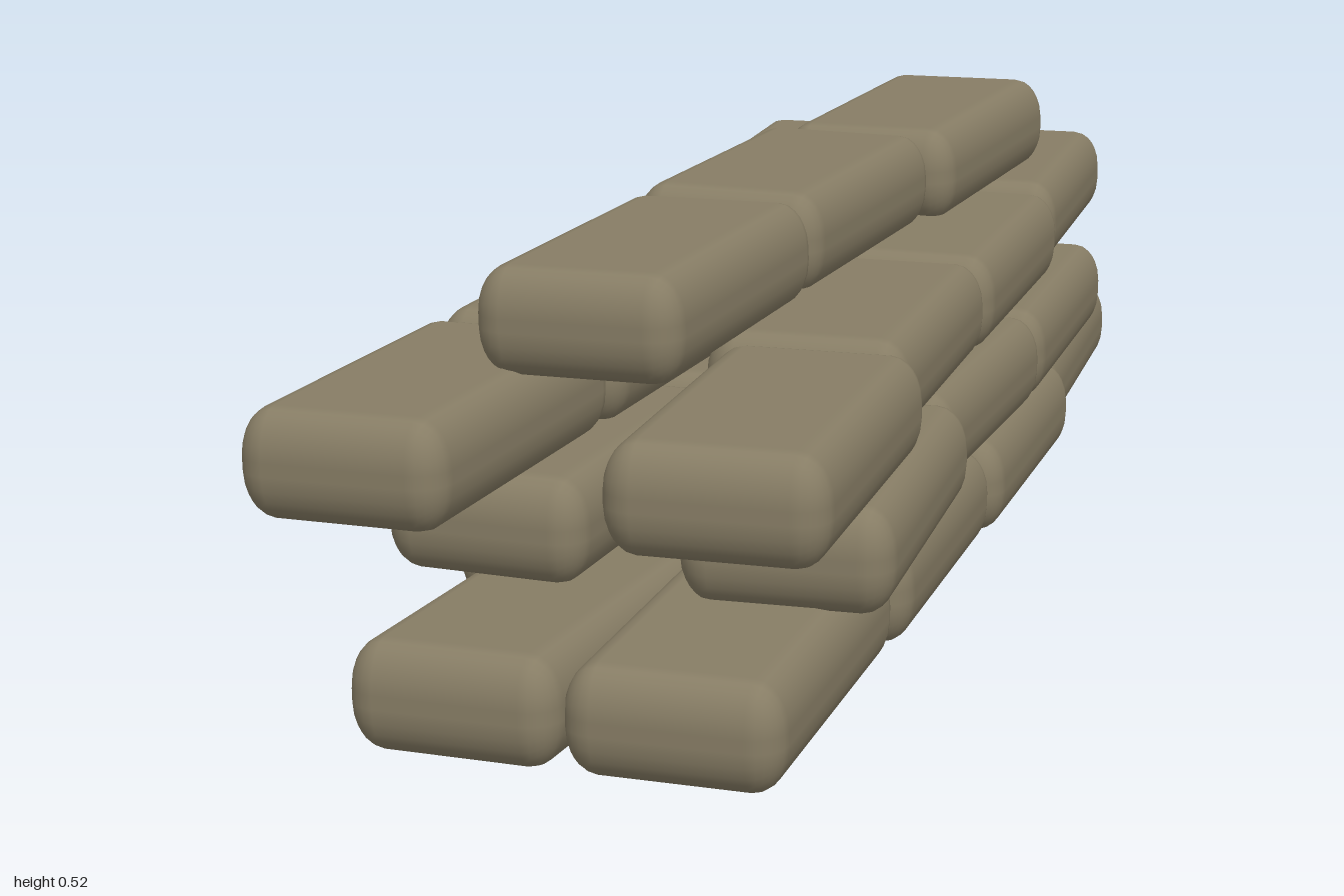
import * as THREE from 'three';
import { RoundedBoxGeometry } from 'three/addons/geometries/RoundedBoxGeometry.js';

const canvas = new THREE.MeshStandardMaterial({ color: 0x877d65 });
canvas.name = 'khaki canvas';

// One stuffed sack: taller than wide rounding, slightly sagging top and bottom.
function sackGeometry() {
  const squash = 1.45;
  const g = new RoundedBoxGeometry(0.258 * squash, 0.132, 0.488 * squash, 3, 0.058);
  g.scale(1 / squash, 1, 1 / squash);
  return g;
}

// Courses from the ground up; each sack is [x, z, yaw, pitch, roll].
const courses = [
  { name: 'bottomCourse', y: 0.077, sacks: [
    [-0.075, 0.75, -0.05, -0.02, 0.02], [0.165, 0.735, 0.01, 0.01, 0],
    [-0.165, 0.24, -0.03, 0.01, 0], [0.165, 0.24, 0.03, -0.01, 0],
    [-0.165, -0.235, 0.08, 0.01, -0.02], [0.165, -0.235, 0.02, 0, 0.02],
    [-0.195, -0.72, 0.04, 0.01, 0], [0.115, -0.752, 0.05, 0.025, 0],
  ] },
  { name: 'secondCourse', y: 0.205, sacks: [
    [-0.145, 0.49, -0.04, 0, 0], [0.205, 0.49, 0.06, 0.01, 0],
    [-0.15, -0.005, 0.02, 0, 0.01], [0.165, -0.005, -0.02, 0, -0.01],
    [-0.15, -0.48, 0.04, 0, 0], [0.16, -0.48, 0.03, 0.01, 0],
  ] },
  { name: 'thirdCourse', y: 0.332, sacks: [
    [-0.212, 0.725, -0.05, 0, 0.02], [0.205, 0.725, 0.04, 0, 0],
    [-0.185, 0.235, -0.05, 0, 0], [0.155, 0.235, 0.04, 0, 0],
    [-0.133, -0.25, 0.02, 0, 0.01], [0.142, -0.245, 0.03, 0, -0.01],
    [-0.205, -0.722, 0.055, 0, 0], [0.103, -0.753, 0.06, 0, 0],
  ] },
  { name: 'topCourse', y: 0.457, sacks: [
    [-0.022, 0.495, -0.04, 0, 0.02], [-0.005, 0, -0.05, 0, 0],
    [0.045, -0.485, -0.06, 0.012, 0.02],
  ] },
];

export function createModel() {
  const wall = new THREE.Group();
  wall.name = 'sandbagWall';
  const geometry = sackGeometry();
  for (const { name, y, sacks } of courses) {
    const course = new THREE.Group();
    course.name = name;
    sacks.forEach(([x, z, yaw, pitch, roll], i) => {
      const sack = new THREE.Mesh(geometry, canvas);
      sack.name = `sandbag${i + 1}`;
      sack.position.set(x, y, z);
      sack.rotation.set(pitch, yaw, roll, 'YXZ');
      course.add(sack);
    });
    wall.add(course);
  }
  return wall;
}
